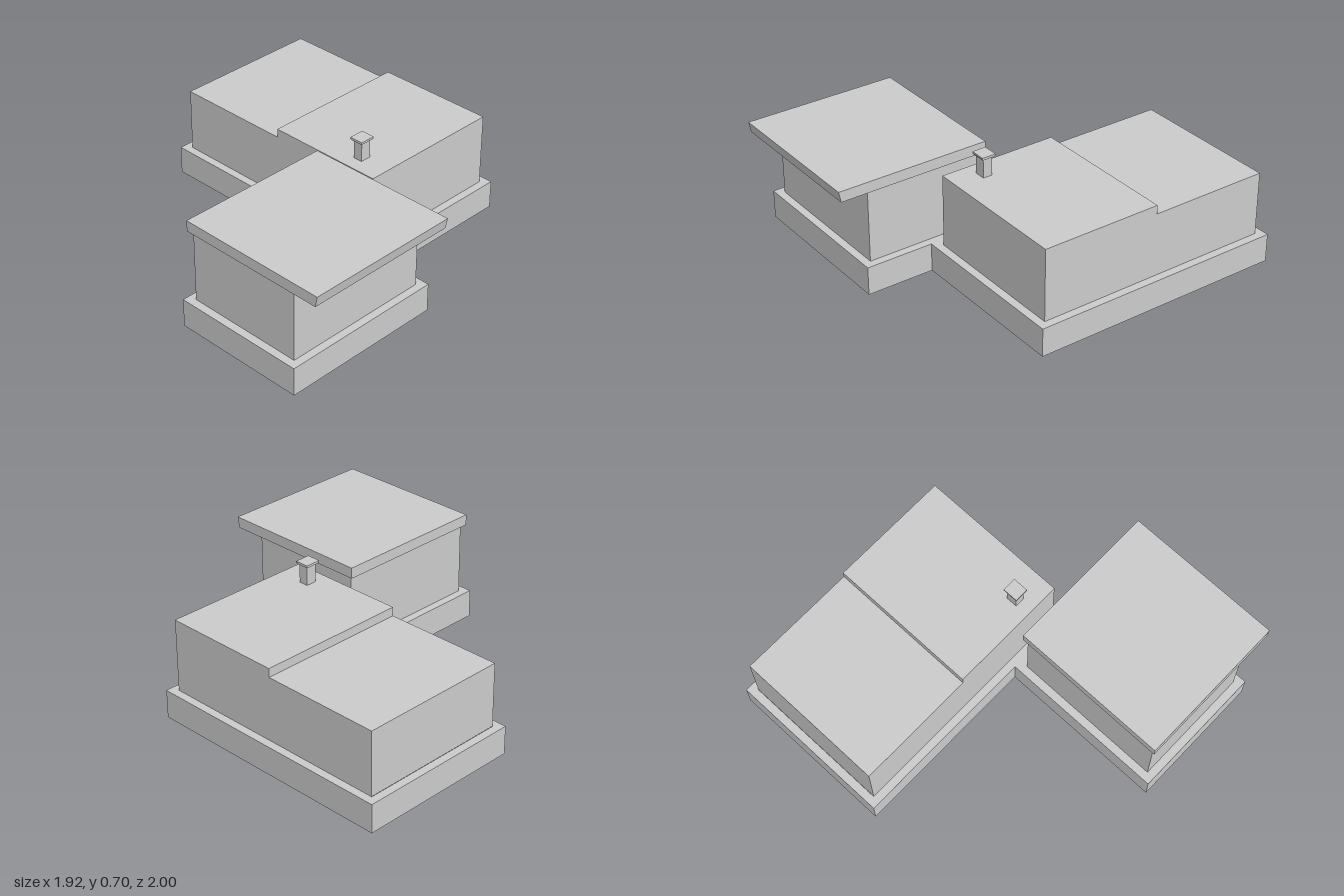
import * as THREE from 'three';

const material = new THREE.MeshStandardMaterial({ color: 0xcccccc, flatShading: true });
const WALL = 0.025;

function rect(target, x0, x1, z0, z1) {
  target.moveTo(x0, -z1);
  target.lineTo(x1, -z1);
  target.lineTo(x1, -z0);
  target.lineTo(x0, -z0);
  target.closePath();
  return target;
}

// Upright block over a plan rectangle [x0, x1, z0, z1], with an optional rectangular hole
function block(name, plan, y0, y1, hole) {
  const shape = rect(new THREE.Shape(), ...plan);
  if (hole) shape.holes.push(rect(new THREE.Path(), ...hole));
  const geometry = new THREE.ExtrudeGeometry(shape, { depth: y1 - y0, bevelEnabled: false });
  geometry.rotateX(-Math.PI / 2).translate(0, y0, 0);
  const mesh = new THREE.Mesh(geometry, material);
  mesh.name = name;
  return mesh;
}

const inset = ([x0, x1, z0, z1], t) => [x0 + t, x1 - t, z0 + t, z1 - t];

// Hollow ring of walls, open above and below
const walls = (name, plan, y0, y1, t = WALL) => block(name, plan, y0, y1, inset(plan, t));

export function createModel() {
  const model = new THREE.Group();
  model.name = 'house';
  const BASE = 0.163, LOW = 0.528, HIGH = 0.578, STEP = -0.262, RIM = 0.046;

  // Long wing: plinth, two rooms and a stepped flat roof
  const longWing = new THREE.Group();
  longWing.name = 'longWing';
  const flue = [0.125, 0.188, 0.223, 0.278];
  const flueHole = inset(flue, 0.012);
  const x0 = 0.046, x1 = 0.915, back = -0.953, front = 0.433;
  longWing.add(
    walls('longPlinth', [0, 0.961, -1, 0.479], 0, BASE, RIM),
    walls('backWalls', [x0, x1, back, STEP], BASE, LOW - WALL),
    block('backRoof', [x0, x1, back, STEP], LOW - WALL, LOW),
    // the front room shares the back room's end wall up to the lower roof
    block('frontWalls', [x0, x1, STEP, front], BASE, HIGH - WALL,
      [x0 + WALL, x1 - WALL, STEP + 0.005, front - WALL]),
    block('frontRoof', [x0, x1, STEP, front], HIGH - WALL, HIGH, flueHole)
  );

  // Chimney: hollow flue with a two-layer cap
  const chimney = new THREE.Group();
  chimney.name = 'chimney';
  const cap = [0.111, 0.2, 0.209, 0.29];
  chimney.add(
    walls('flue', flue, HIGH, 0.686, 0.012),
    block('capUnderside', inset(cap, 0.004), 0.686, 0.692),
    block('capPlate', cap, 0.692, 0.702)
  );
  longWing.add(chimney);

  // Square wing: plinth and walls under an overhanging slab
  const squareWing = new THREE.Group();
  squareWing.name = 'squareWing';
  squareWing.add(
    walls('squarePlinth', [-0.961, 0, 0.085, 0.87], 0, BASE, RIM),
    walls('squareWalls', [-0.915, -0.046, 0.131, 0.825], BASE, HIGH)
  );

  // Slab profile in z and y, with a leaning front edge
  const profile = new THREE.Shape([
    [0.11, HIGH], [0.988, HIGH], [1, 0.64], [0.11, 0.64]
  ].map(([z, y]) => new THREE.Vector2(z, y)));
  const slab = new THREE.ExtrudeGeometry(profile, { depth: 0.908, bevelEnabled: false });
  slab.rotateY(-Math.PI / 2).translate(-0.03, 0, 0);
  const roof = new THREE.Mesh(slab, material);
  roof.name = 'overhangingRoof';
  squareWing.add(roof);

  model.add(longWing, squareWing);
  return model;
}
